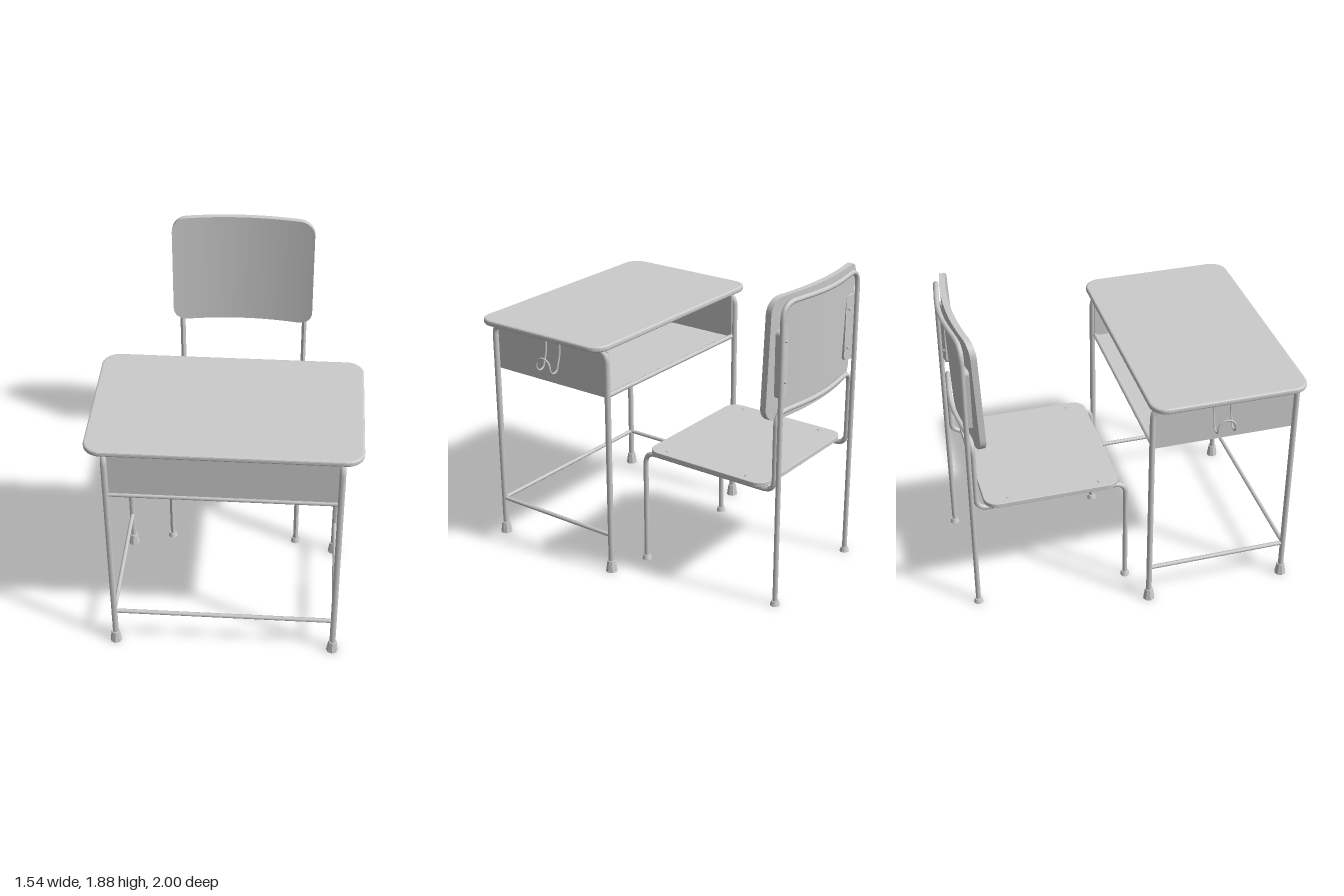
import * as THREE from 'three';

const grey = new THREE.MeshStandardMaterial({ color: 0xcccccc, side: THREE.DoubleSide });
const faceted = new THREE.MeshStandardMaterial({ color: 0xcccccc, flatShading: true });

function add(parent, name, geometry, x = 0, y = 0, z = 0, material = grey) {
  const mesh = new THREE.Mesh(geometry, material);
  mesh.name = name;
  mesh.position.set(x, y, z);
  parent.add(mesh);
  return mesh;
}

// Tube along straight runs joined by rounded corners
function bentTube(points, radius, bend, segments = 160) {
  const p = points.map((a) => new THREE.Vector3(...a));
  const path = new THREE.CurvePath();
  let from = p[0];
  for (let i = 1; i < p.length - 1; i++) {
    const a = p[i].clone().add(p[i - 1].clone().sub(p[i]).setLength(bend));
    const b = p[i].clone().add(p[i + 1].clone().sub(p[i]).setLength(bend));
    path.add(new THREE.LineCurve3(from, a));
    path.add(new THREE.QuadraticBezierCurve3(a, p[i], b));
    from = b;
  }
  path.add(new THREE.LineCurve3(from, p[p.length - 1]));
  return new THREE.TubeGeometry(path, segments, radius, 8);
}

// Bends geometry backwards between the chair uprights
function bow(geometry, depth, halfSpan) {
  const pos = geometry.attributes.position;
  for (let i = 0; i < pos.count; i++) {
    const u = Math.min(1, Math.abs(pos.getX(i)) / halfSpan);
    if (pos.getZ(i) < -0.89 && pos.getY(i) > 1.1) {
      pos.setZ(i, pos.getZ(i) - depth * Math.cos(u * Math.PI / 2) ** 1.5);
    }
  }
  geometry.computeVertexNormals();
  return geometry;
}

function roundedRect(w, d, r) {
  const s = new THREE.Shape();
  const x = w / 2, y = d / 2;
  s.moveTo(-x + r, -y);
  s.lineTo(x - r, -y).absarc(x - r, -y + r, r, -Math.PI / 2, 0);
  s.lineTo(x, y - r).absarc(x - r, y - r, r, 0, Math.PI / 2);
  s.lineTo(-x + r, y).absarc(-x + r, y - r, r, Math.PI / 2, Math.PI);
  s.lineTo(-x, -y + r).absarc(-x + r, -y + r, r, Math.PI, Math.PI * 1.5);
  return s;
}

// Horizontal board with rounded corners, base at y = 0
function board(w, d, h, r, bevel) {
  const g = new THREE.ExtrudeGeometry(roundedRect(w - 2 * bevel, d - 2 * bevel, r - bevel), {
    depth: h - 2 * bevel, bevelSize: bevel, bevelThickness: bevel, bevelSegments: 3, curveSegments: 8,
  });
  return g.translate(0, 0, bevel).rotateX(-Math.PI / 2);
}

// Curved, slightly tilted backrest with rounded corners
function backrestGeometry() {
  const hx = 0.455, hy = 0.367, r = 0.09;
  const g = new THREE.BoxGeometry(2, 2, 0.036, 40, 1, 1);
  const pos = g.attributes.position;
  for (let i = 0; i < pos.count; i++) {
    const x = hx * Math.sin(pos.getX(i) * Math.PI / 2);
    const over = Math.max(0, Math.abs(x) - (hx - r));
    const inset = r - Math.sqrt(Math.max(0, r * r - over * over));
    const y = Math.sign(pos.getY(i)) * (hy - inset);
    const z = pos.getZ(i) - 0.018 - 0.85 - 0.04 * y - 0.055 * (1 - (x / hx) ** 2);
    pos.setXYZ(i, x, y + 1.518, z);
  }
  g.computeVertexNormals();
  return g;
}

function createDesk() {
  const desk = new THREE.Group();
  desk.name = 'desk';
  const front = 0.962, back = 0.087, legX = 0.655, midZ = (front + back) / 2;

  add(desk, 'desktop', board(1.54, 0.945, 0.036, 0.1, 0.012), 0, 1.449, 0.5275);

  // Book tray, open towards the chair
  add(desk, 'trayFront', new THREE.BoxGeometry(1.28, 0.3, 0.012), 0, 1.3, 0.95);
  add(desk, 'trayFloor', new THREE.BoxGeometry(1.28, 0.014, 0.86), 0, 1.142, midZ);
  for (const z of [0.952, 0.1]) {
    add(desk, 'trayRail', new THREE.CylinderGeometry(0.014, 0.014, 1.28, 8).rotateZ(Math.PI / 2), 0, 1.149, z);
  }

  for (const s of [-1, 1]) {
    add(desk, 'traySide', new THREE.BoxGeometry(0.012, 0.29, 0.86), s * 0.636, 1.28, midZ);
    add(desk, 'legFrame', bentTube([
      [s * legX, 0.02, front], [s * legX, 1.425, front], [s * legX, 1.425, back], [s * legX, 0.02, back],
    ], 0.018, 0.065));
    add(desk, 'sideBar', new THREE.CylinderGeometry(0.013, 0.013, front - back, 8).rotateX(Math.PI / 2),
      s * legX, 0.243, midZ);
    for (const z of [front, back]) {
      add(desk, 'foot', new THREE.CylinderGeometry(0.025, 0.036, 0.072, 8), s * legX, 0.036, z, faceted);
    }
    // Bag hook: wire folded out and up, closed by an arch
    const hook = [];
    const half = 0.053, inX = 0.668, mid = 0.508;
    hook.push([s * 0.645, 1.4, mid + half], [s * 0.65, 1.32, mid + half]);
    for (let i = 0; i <= 6; i++) {
      const a = Math.PI * i / 6;
      hook.push([s * (inX + 0.034 - 0.034 * Math.cos(a)), 1.262 - 0.034 * Math.sin(a), mid + half]);
    }
    for (let i = 1; i < 8; i++) {
      const a = Math.PI * i / 8;
      hook.push([s * 0.736, 1.265 + 0.055 * Math.sin(a), mid + half * Math.cos(a)]);
    }
    for (let i = 8; i >= 0; i--) hook.push([hook[i][0], hook[i][1], mid - half]);
    const wire = new THREE.CatmullRomCurve3(hook.map((p) => new THREE.Vector3(...p)));
    add(desk, 'bagHook', new THREE.TubeGeometry(wire, 90, 0.006, 6));
  }
  add(desk, 'frontBar', new THREE.CylinderGeometry(0.013, 0.013, 2 * legX, 8).rotateZ(Math.PI / 2), 0, 0.243, front);
  return desk;
}

function createChair() {
  const chair = new THREE.Group();
  chair.name = 'chair';
  const x = 0.405, rearZ = -0.94, frontZ = 0.005, tube = 0.0155;

  add(chair, 'seat', board(0.91, 0.825, 0.03, 0.08, 0.004), 0, 0.745, -0.452);
  add(chair, 'backrest', backrestGeometry());

  // Front legs run under the seat, then rise into the lower back rail
  const seatPath = [[x, 0.01, frontZ], [x, 0.73, frontZ], [x, 0.73, -0.913], [x, 1.205, -0.913]];
  const mirrored = seatPath.map(([px, y, z]) => [-px, y, z]).reverse();
  add(chair, 'seatFrame', bow(bentTube([...seatPath, ...mirrored], tube, 0.075, 260), 0.04, x));

  // Rear legs rise into the top rail behind the backrest
  const rear = bentTube([[x, 0.01, rearZ], [x, 1.85, rearZ], [-x, 1.85, rearZ], [-x, 0.01, rearZ]], tube, 0.1, 200);
  add(chair, 'rearFrame', bow(rear, 0.045, x));

  for (const s of [-1, 1]) {
    for (const z of [frontZ, rearZ]) {
      add(chair, 'foot', new THREE.CylinderGeometry(0.022, 0.03, 0.028, 10), s * x, 0.014, z);
    }
    // Mounting plate between upright and backrest
    const plate = new THREE.ExtrudeGeometry(roundedRect(0.1, 0.4, 0.03), {
      depth: 0.03, bevelEnabled: false, curveSegments: 6,
    });
    add(chair, 'backPlate', plate, s * 0.365, 1.5, -0.928).rotation.y = s * 0.1;
    for (const y of [1.38, 1.62]) {
      add(chair, 'backScrew', new THREE.SphereGeometry(0.009, 8, 6), s * 0.345, y, -0.928);
    }
    for (const z of [-0.16, -0.72]) {
      add(chair, 'seatScrew', new THREE.CylinderGeometry(0.01, 0.012, 0.006, 10), s * x, 0.777, z);
    }
  }
  return chair;
}

export function createModel() {
  const model = new THREE.Group();
  model.name = 'schoolDeskAndChair';
  model.add(createDesk(), createChair());
  return model;
}
